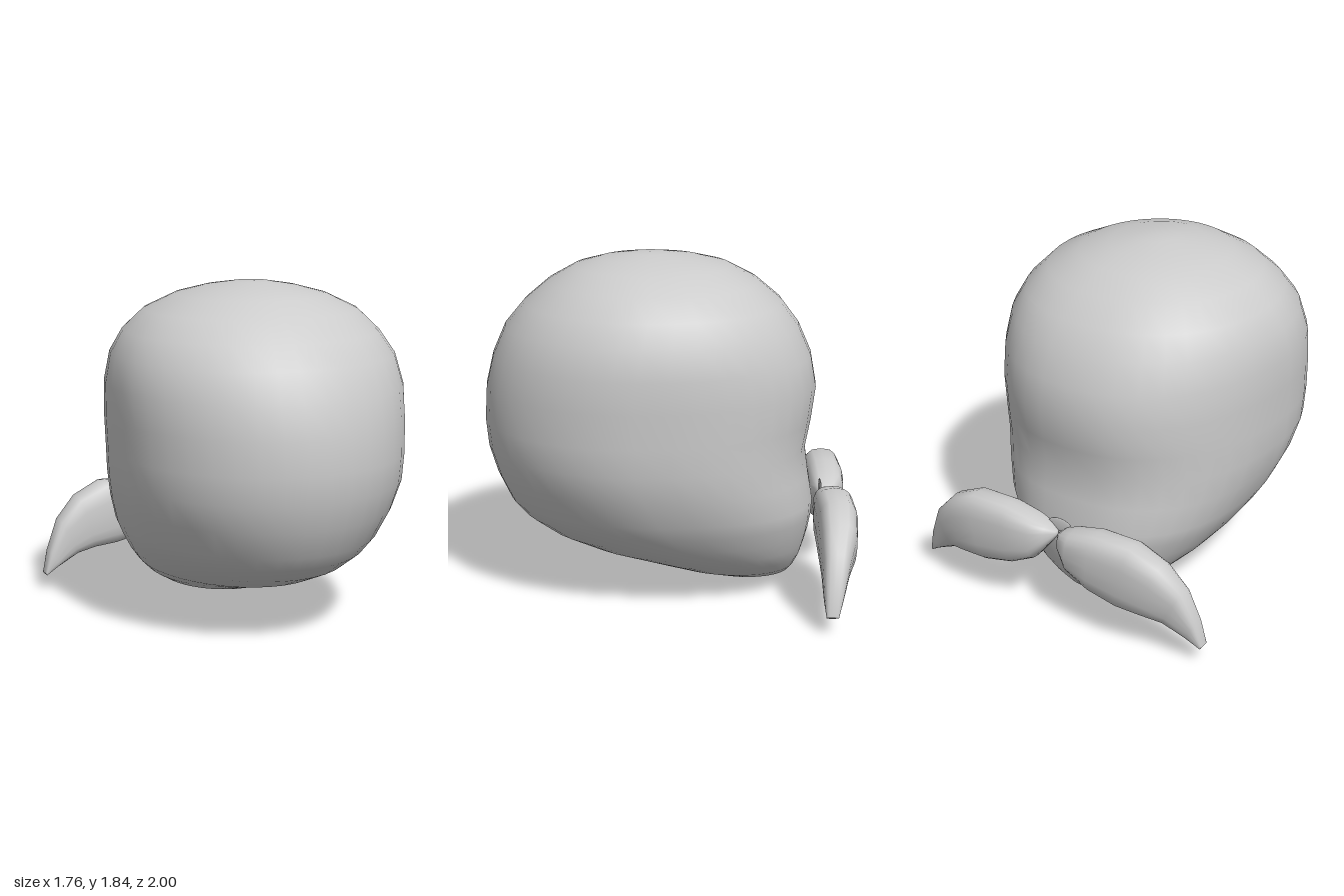
import * as THREE from 'three';
import { mergeVertices } from 'three/addons/utils/BufferGeometryUtils.js';

const material = new THREE.MeshStandardMaterial({ color: 0xcccccc, side: THREE.DoubleSide });

// Skins a list of closed rings (arrays of Vector3) with smooth normals
function loft(rings) {
  const n = rings[0].length, index = [];
  for (let i = 0; i < rings.length - 1; i++) {
    for (let j = 0; j < n; j++) {
      const k = (j + 1) % n, a = i * n, b = a + n;
      index.push(a + j, a + k, b + j, a + k, b + k, b + j);
    }
  }
  let geometry = new THREE.BufferGeometry().setFromPoints(rings.flat());
  geometry.setIndex(index);
  geometry = mergeVertices(geometry, 1e-4);
  geometry.computeVertexNormals();
  return geometry;
}

// Signed power, used for rounded-square (superellipse) sections
const power = (v, e) => Math.sign(v) * Math.pow(Math.abs(v), e);

function part(name, geometry) {
  const mesh = new THREE.Mesh(geometry, material);
  mesh.name = name;
  return mesh;
}

// Head slices, top to bottom: height, half width, front z, back z, z of widest point, back roundness
const HEAD = [
  [1.84, 0, 0.1, 0.1, 0.1, 2.1],
  [1.835, 0.1, 0.21, -0.01, 0.1, 2.1],
  [1.81, 0.25, 0.37, -0.18, 0.1, 2.15],
  [1.77, 0.4, 0.51, -0.33, 0.1, 2.2],
  [1.69, 0.57, 0.65, -0.48, 0.1, 2.2],
  [1.58, 0.68, 0.78, -0.61, 0.11, 2.2],
  [1.46, 0.75, 0.88, -0.7, 0.14, 2.2],
  [1.3, 0.78, 0.95, -0.77, 0.17, 2.2],
  [1.13, 0.777, 0.99, -0.8, 0.18, 2.22],
  [0.95, 0.77, 1, -0.775, 0.19, 2.28],
  [0.8, 0.762, 0.985, -0.745, 0.18, 2.35],
  [0.65, 0.725, 0.94, -0.765, 0.13, 2.4],
  [0.5, 0.665, 0.87, -0.79, 0.05, 2.45],
  [0.42, 0.62, 0.8, -0.785, 0, 2.45],
  [0.33, 0.56, 0.67, -0.77, -0.08, 2.4],
  [0.25, 0.49, 0.48, -0.75, -0.18, 2.35],
  [0.18, 0.41, 0.22, -0.73, -0.28, 2.3],
  [0.11, 0.3, 0, -0.7, -0.37, 2.2],
  [0.06, 0.19, -0.22, -0.67, -0.43, 2],
  [0.02, 0.07, -0.4, -0.56, -0.48, 2],
  [0, 0, -0.48, -0.48, -0.48, 2],
];

function headGeometry() {
  const n = 40;
  return loft(HEAD.map(([y, w, front, back, mid, backExp]) =>
    Array.from({ length: n }, (_, j) => {
      const t = (j / n) * Math.PI * 2, c = Math.cos(t), s = Math.sin(t);
      const e = 2 / (s > 0 ? 1.98 : backExp);
      const depth = s > 0 ? front - mid : mid - back;
      return new THREE.Vector3(w * power(c, e), y, mid + depth * power(s, e));
    })));
}

// Bow tail sections, knot to tip: top x, top y, bottom x, bottom y, back z, front z
const TAIL = [
  [0, 0.48, 0, 0.48, -0.86, -0.86],
  [0.01, 0.495, 0.01, 0.465, -0.88, -0.84],
  [0.05, 0.53, 0.04, 0.42, -0.94, -0.81],
  [0.13, 0.565, 0.11, 0.33, -0.985, -0.79],
  [0.28, 0.6, 0.25, 0.26, -1, -0.78],
  [0.5, 0.6, 0.42, 0.22, -1, -0.78],
  [0.66, 0.525, 0.56, 0.21, -0.98, -0.78],
  [0.78, 0.4, 0.67, 0.19, -0.935, -0.785],
  [0.85, 0.23, 0.79, 0.13, -0.895, -0.79],
  [0.88, 0.1, 0.87, 0.085, -0.865, -0.8],
  [0.875, 0.092, 0.875, 0.092, -0.83, -0.83],
];

function tailGeometry(side) {
  const n = 20;
  return loft(TAIL.map(([tx, ty, bx, by, back, front]) =>
    Array.from({ length: n }, (_, j) => {
      const t = side * (j / n) * Math.PI * 2;
      const c = power(Math.cos(t), 0.75), s = power(Math.sin(t), 0.65);
      return new THREE.Vector3(
        side * ((tx + bx) / 2 + c * (tx - bx) / 2),
        (ty + by) / 2 + c * (ty - by) / 2,
        (back + front) / 2 + s * (front - back) / 2);
    })));
}

export function createModel() {
  const model = new THREE.Group();
  model.name = 'headWithBow';
  model.add(part('head', headGeometry()));

  // Bow at the nape: two mirrored tails and a thin strap behind the knot
  const bow = new THREE.Group();
  bow.name = 'bow';
  bow.add(part('leftTail', tailGeometry(1)), part('rightTail', tailGeometry(-1)));
  const strap = part('knotStrap', new THREE.SphereGeometry(1, 12, 8));
  strap.scale.set(0.075, 0.04, 0.006);
  strap.position.set(0, 0.525, -0.84);
  bow.add(strap);
  model.add(bow);
  return model;
}
